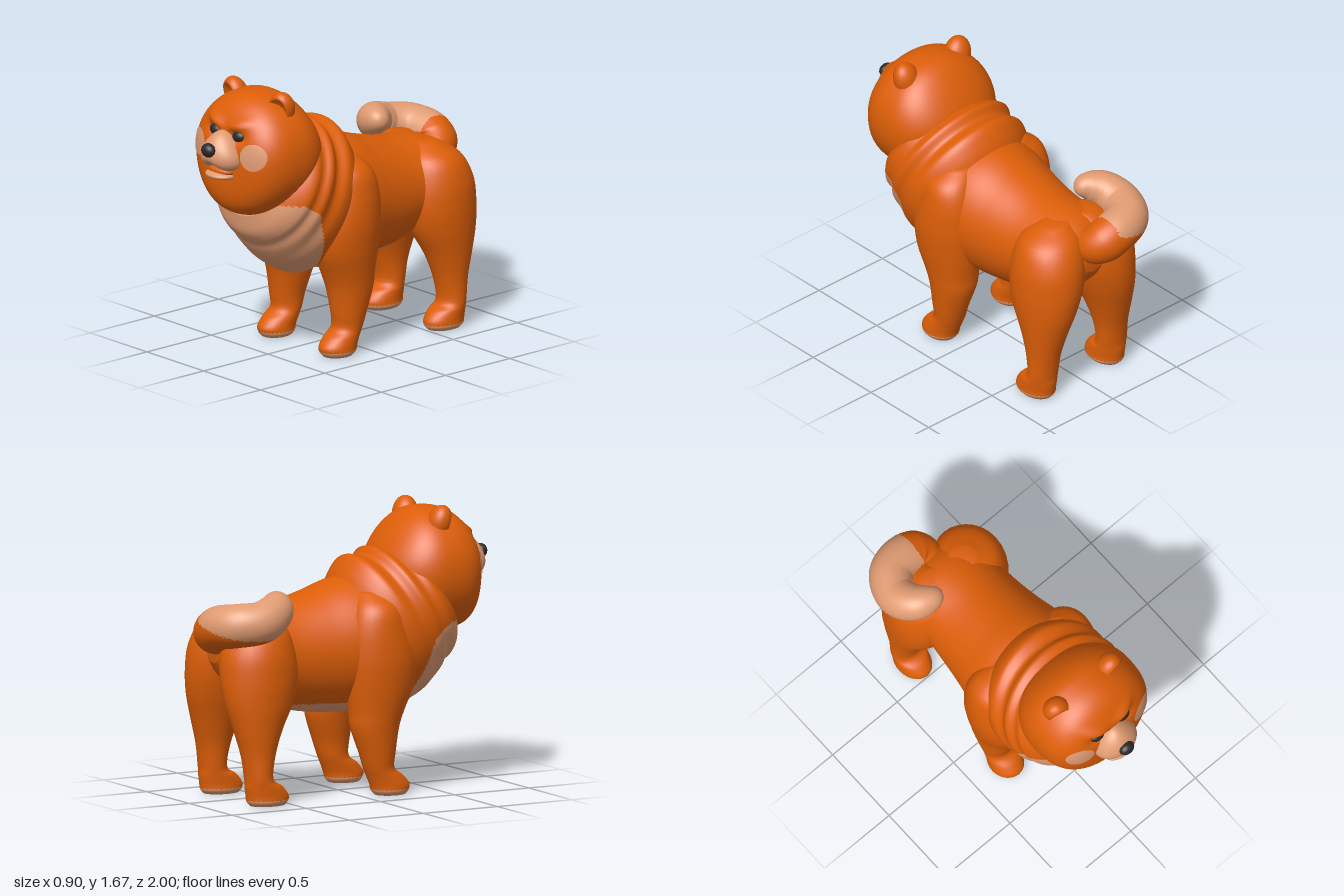
import * as THREE from 'three';
import { mergeVertices } from 'three/addons/utils/BufferGeometryUtils.js';

const material = (name, color) => {
  const m = new THREE.MeshStandardMaterial({ color });
  m.name = name;
  return m;
};

// Closed skin through elliptical sections [y, x0, x1, z0, z1], listed with y rising.
function loft(sections, sides = 28, steps = 5) {
  const curve = (a, b) => new THREE.CatmullRomCurve3(
    sections.map(s => new THREE.Vector3(s[0], s[a], s[b])), false, 'catmullrom', 0.5);
  const cx = curve(1, 2), cz = curve(3, 4);
  const rings = (sections.length - 1) * steps, pos = [], index = [];
  for (let i = 0; i <= rings; i++) {
    const p = cx.getPoint(i / rings), q = cz.getPoint(i / rings);
    for (let j = 0; j < sides; j++) {
      const a = (j / sides) * Math.PI * 2;
      pos.push((p.y + p.z) / 2 + Math.cos(a) * (p.z - p.y) / 2, p.x,
        (q.y + q.z) / 2 + Math.sin(a) * (q.z - q.y) / 2);
    }
  }
  for (let i = 0; i < rings; i++) for (let j = 0; j < sides; j++) {
    const k = (j + 1) % sides, a = i * sides + j, b = i * sides + k;
    index.push(a, a + sides, b, b, a + sides, b + sides);
  }
  // End caps
  for (const [s, base] of [[sections[0], 0], [sections.at(-1), rings * sides]]) {
    const c = pos.length / 3;
    pos.push((s[1] + s[2]) / 2, s[0], (s[3] + s[4]) / 2);
    for (let j = 0; j < sides; j++) {
      const a = base + j, b = base + (j + 1) % sides;
      if (base) index.push(c, b, a); else index.push(c, a, b);
    }
  }
  const g = new THREE.BufferGeometry();
  g.setAttribute('position', new THREE.Float32BufferAttribute(pos, 3));
  g.setIndex(index);
  g.computeVertexNormals();
  return g;
}

// Sorts the faces into two material groups; the rule picks the second material.
function paint(g, rule) {
  const parts = [[], []], ix = g.index.array, p = g.attributes.position;
  for (let i = 0; i < ix.length; i += 3) {
    const t = [ix[i], ix[i + 1], ix[i + 2]];
    const mid = f => t.reduce((s, v) => s + p[f](v), 0) / 3;
    parts[rule(mid('getX'), mid('getY'), mid('getZ')) ? 1 : 0].push(...t);
  }
  g.setIndex([...parts[0], ...parts[1]]);
  g.clearGroups();
  g.addGroup(0, parts[0].length, 0);
  g.addGroup(parts[0].length, parts[1].length, 1);
  return g;
}

// Moves every vertex by a rule, then welds seams and smooths.
function reshape(g, rule) {
  const p = g.attributes.position, v = new THREE.Vector3();
  for (let i = 0; i < p.count; i++) {
    rule(v.fromBufferAttribute(p, i), i);
    p.setXYZ(i, v.x, v.y, v.z);
  }
  g.deleteAttribute('uv');
  g.deleteAttribute('normal');
  const out = mergeVertices(g, 1e-5);
  out.computeVertexNormals();
  return out;
}

export function createModel() {
  const model = new THREE.Group();
  const orange = material('orange fur', 0xdc5e08);
  const cream = material('cream fur', 0xe09b72);
  const dark = material('dark nose and eyes', 0x2e2828);
  const add = (name, geometry, mat) => {
    const m = new THREE.Mesh(geometry, mat);
    m.name = name;
    model.add(m);
    return m;
  };
  const ball = (name, mat, [x, y, z], [rx, ry, rz], tilt = 0) => {
    const m = add(name, new THREE.SphereGeometry(1, 24, 16), mat);
    m.position.set(x, y, z);
    m.scale.set(rx, ry, rz);
    m.rotation.z = tilt;
  };

  // Torso: [z, half width, bottom, top], with a cream belly
  const torso = loft([
    [-0.84, 0.06, 0.82, 0.93], [-0.78, 0.2, 0.73, 1.04], [-0.65, 0.29, 0.62, 1.12],
    [-0.4, 0.31, 0.52, 1.15], [-0.2, 0.335, 0.48, 1.2], [0, 0.37, 0.47, 1.26],
    [0.2, 0.38, 0.48, 1.27], [0.35, 0.3, 0.52, 1.15], [0.45, 0.15, 0.65, 1.0],
  ].map(([z, w, b, t]) => [z, -w, w, -t, -b]), 96, 11).rotateX(Math.PI / 2);
  add('torso', paint(torso, (x, y, z) => y < 0.555 && z > -0.48), [orange, cream]);

  // Folded neck ruff along a tilted axis: [t, half width, upper edge, lower edge]
  const ruff = loft([
    [-0.28, 0.28, -0.28, 0.33], [-0.16, 0.37, -0.39, 0.445], [-0.08, 0.41, -0.45, 0.45],
    [0, 0.425, -0.48, 0.445], [0.07, 0.408, -0.437, 0.425], [0.135, 0.423, -0.458, 0.395],
    [0.185, 0.4, -0.425, 0.365], [0.24, 0.4, -0.42, 0.35], [0.3, 0.35, -0.38, 0.315],
    [0.36, 0.26, -0.28, 0.23],
  ].map(([t, w, a, b]) => [t, -w, w, a, b]), 120, 10)
    .rotateX(THREE.MathUtils.degToRad(64)).translate(0, 0.95, 0.3);
  add('neckRuff', paint(ruff, (x, y, z) =>
    y < 1.0 - 0.6 * Math.max(0, 0.56 - z) && z > 0.3 + 0.32 * (y - 0.48)), [orange, cream]);

  // Legs with cream soles: [y, inner x, outer x, back z, front z]
  const frontLeg = [
    [0, 0.19, 0.35, 0.1, 0.29], [0.025, 0.17, 0.37, 0.08, 0.31], [0.06, 0.17, 0.37, 0.07, 0.315],
    [0.11, 0.17, 0.365, 0.05, 0.275], [0.16, 0.172, 0.362, 0.03, 0.215], [0.25, 0.165, 0.375, 0, 0.22],
    [0.4, 0.13, 0.395, -0.05, 0.245], [0.5, 0.11, 0.41, -0.06, 0.28], [0.65, 0.1, 0.435, -0.08, 0.34],
    [0.82, 0.1, 0.45, -0.09, 0.35], [1.0, 0.13, 0.435, -0.07, 0.29], [1.12, 0.13, 0.395, -0.03, 0.25],
    [1.2, 0.1, 0.28, 0.03, 0.18],
  ];
  const hindLeg = [
    [0, 0.19, 0.35, -0.74, -0.52], [0.025, 0.17, 0.37, -0.76, -0.5], [0.06, 0.17, 0.37, -0.765, -0.5],
    [0.11, 0.17, 0.37, -0.77, -0.54], [0.16, 0.172, 0.368, -0.77, -0.605], [0.3, 0.155, 0.37, -0.79, -0.585],
    [0.45, 0.11, 0.385, -0.83, -0.53], [0.6, 0.05, 0.4, -0.87, -0.45], [0.75, 0, 0.405, -0.885, -0.41],
    [0.9, -0.02, 0.39, -0.87, -0.42], [1.03, -0.02, 0.33, -0.805, -0.46], [1.11, 0.03, 0.18, -0.69, -0.55],
  ];
  for (const [name, leg] of [['FrontLeg', frontLeg], ['HindLeg', hindLeg]]) {
    for (const side of ['left', 'right']) {
      const s = side === 'left' ? leg : leg.map(([y, a, b, c, d]) => [y, -b, -a, c, d]);
      add(side + name, paint(loft(s), (x, y) => y < 0.035), [orange, cream]);
    }
  }

  // Curled tail, tapered along its path
  const path = new THREE.CatmullRomCurve3([
    [0, 0.94, -0.72], [-0.035, 0.995, -0.84], [-0.13, 1.045, -0.87], [-0.26, 1.07, -0.83],
    [-0.325, 1.09, -0.7], [-0.29, 1.14, -0.59], [-0.21, 1.17, -0.54], [-0.13, 1.18, -0.53],
  ].map(p => new THREE.Vector3(...p)));
  const n = 90, sides = 40;
  const tail = reshape(new THREE.TubeGeometry(path, n, 1, sides), (v, i) => {
    const t = Math.floor(i / (sides + 1)) / n, c = path.getPointAt(t);
    const r = t < 0.2 ? 0.09 + 0.2 * t : 0.13 * Math.sqrt(Math.max(0, 1 - ((t - 0.2) / 0.8) ** 4));
    v.sub(c).multiplyScalar(r).add(c);
  });
  add('tail', paint(tail, (x, y) => x < -0.07 && y > 1.08 + 0.3 * (x + 0.1)), [orange, cream]);

  // Head: flat-faced and round behind, with a forward chin, frowning brows and eye sockets
  const R = 2.05, P = 2.9, size = [0.38, 0.37, 0.31], centre = [0, 1.27, 0.55];
  const radial = (x, y) => (Math.abs(x) ** R + Math.abs(y) ** R) ** (1 / R);
  const taper = y => 1 - 0.15 * Math.max(0, y) ** 2;
  const bump = (x, y, w, h) => Math.exp(-((x / w) ** 2) - (y / h) ** 2);
  add('head', reshape(new THREE.SphereGeometry(1, 112, 84), v => {
    const p = v.z > 0 ? P : 2.15;
    v.multiplyScalar((radial(v.x, v.y) ** p + Math.abs(v.z) ** p) ** (-1 / p));
    v.z *= taper(v.y);
    const front = v.z > 0.3, chin = v.y < 0 ? 0.06 * v.y * v.y : 0;
    if (v.z < 0 && v.y > 0) v.y *= 1 - 0.25 * v.z * v.z;
    v.set(v.x * size[0], v.y * size[1] + centre[1], v.z * size[2] + centre[2] + chin);
    if (front) {
      const x = Math.abs(v.x) - 0.1;
      v.z += 0.028 * bump(x, v.y - 1.482 - 0.25 * x, 0.075, 0.032) - 0.03 * bump(x, v.y - 1.415, 0.06, 0.035);
    }
  }), orange);
  const faceZ = (x, y) => {
    const u = x / size[0], w = (y - centre[1]) / size[1];
    return centre[2] + size[2] * taper(w) * (1 - radial(u, w) ** P) ** (1 / P);
  };

  // Muzzle: narrow bridge, full lips with a notch in the middle
  add('muzzle', reshape(new THREE.SphereGeometry(1, 40, 28), v => {
    const notch = v.y < 0 ? 0.04 * v.y * v.y * Math.max(0, 1 - Math.abs(v.x) * 2.2) : 0;
    v.set(v.x * 0.138 * (1 - 0.32 * v.y), 1.322 + 0.12 * v.y + notch, 0.85 + 0.118 * v.z * (1 - 0.2 * v.y));
    v.y -= 0.1 * Math.max(0, Math.abs(v.x) - 0.02);
  }), cream);
  ball('mouth', orange, [0, 1.205, 0.86], [0.1, 0.035, 0.06]);
  ball('lowerLip', cream, [0, 1.178, 0.865], [0.102, 0.028, 0.085]);
  ball('nose', dark, [0, 1.34, 0.962], [0.05, 0.042, 0.038]);

  // Paired face parts
  for (const [side, s] of [['left', 1], ['right', -1]]) {
    ball(side + 'Eye', dark, [0.098 * s, 1.416, 0.808], [0.05, 0.037, 0.036], 0.1 * s);
    add(side + 'Cheek', reshape(
      new THREE.SphereGeometry(0.08, 32, 8, 0, Math.PI * 2, 0, Math.PI / 2).rotateX(Math.PI / 2), v => {
        v.x += 0.235 * s;
        v.y += 1.318;
        v.z = faceZ(v.x, v.y) + 0.006;
      }), cream);
    // Round ear with a hollow front
    const ear = add(side + 'Ear', reshape(new THREE.SphereGeometry(1, 28, 20).rotateX(Math.PI / 2), v => {
      if (v.z > 0.6) v.z = 1.2 - v.z;
    }), orange);
    ear.scale.set(0.083, 0.11, 0.072);
    ear.position.set(0.2 * s, 1.56, 0.57);
    ear.rotation.set(0.25, 0.2 * s, -0.3 * s);
  }
  return model;
}
